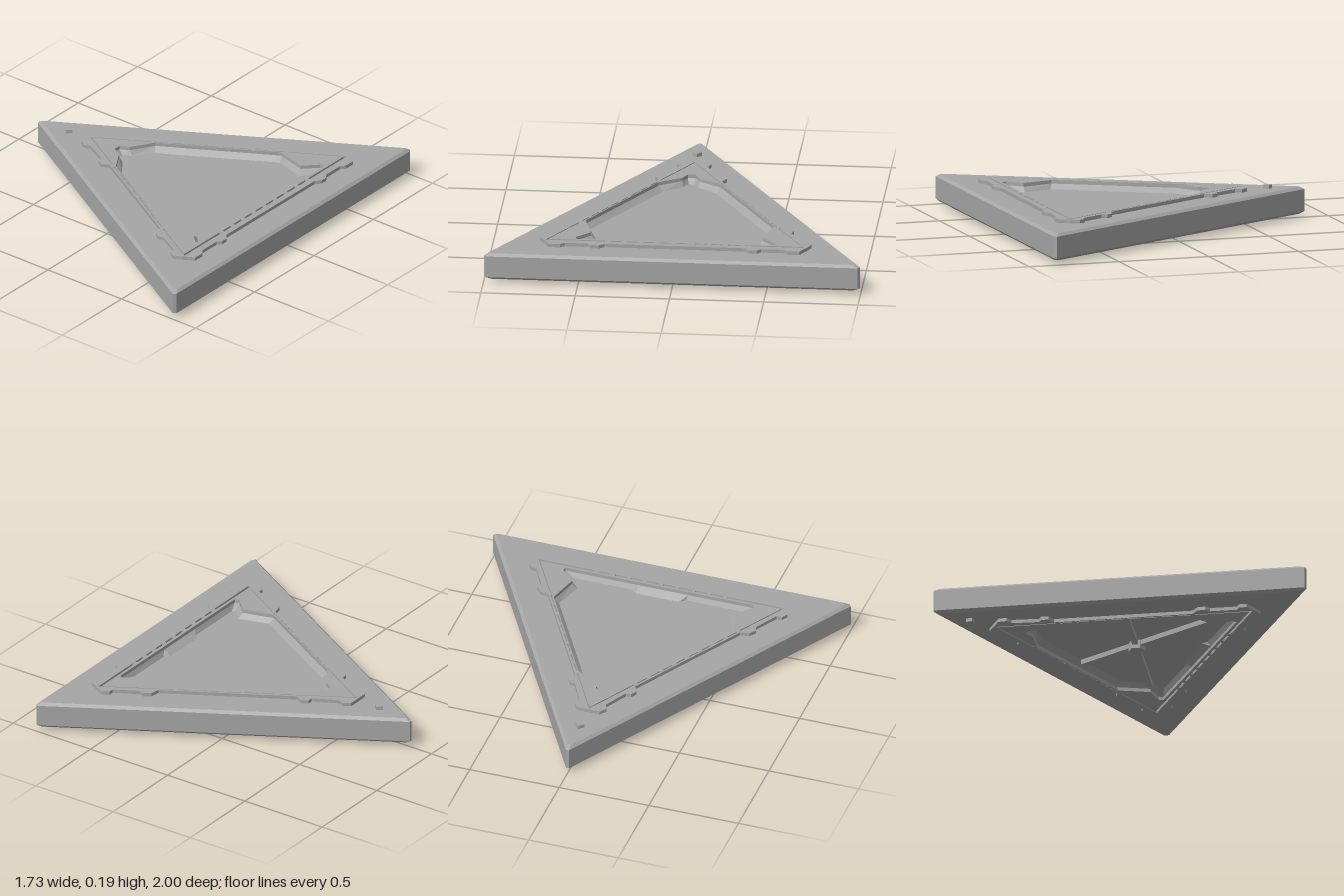
import * as THREE from 'three';

const CX = 0.283; // centroid of the triangle
const MID = 0.0935; // mid height of the slab

// Mirrors a half outline (z < 0) into a closed loop of [x, z]
const mirror = half => [...half, ...half.map(([x, z]) => [x, -z]).reverse()];

// Triangle pointing to -x, from the slanted side distance and the x of the straight side
function triangle(d, xr) {
  const z = (d + 0.5 * (xr - CX)) / 0.866;
  return [[CX - 2 * d, 0], [xr, -z], [xr, z]];
}

const scaleLoop = (loop, s) => loop.map(([x, z]) => [CX + (x - CX) * s, z * s]);

// Collects walls and flat caps into one geometry
class Surface {
  constructor() { this.p = []; }
  wall(a, ya, b, yb, inward = false) {
    const v = a.map(([x, z]) => new THREE.Vector2(x, z));
    const flip = (THREE.ShapeUtils.area(v) < 0) !== inward !== (yb < ya);
    for (let i = 0; i < a.length; i++) {
      const j = (i + 1) % a.length;
      const A = [a[i][0], ya, a[i][1]], B = [a[j][0], ya, a[j][1]];
      const C = [b[j][0], yb, b[j][1]], D = [b[i][0], yb, b[i][1]];
      const quad = flip ? [A, B, C, A, C, D] : [A, C, B, A, D, C];
      quad.forEach(q => this.p.push(...q));
    }
    return this;
  }
  cap(outer, y, up, holes = []) {
    const vec = l => l.map(([x, z]) => new THREE.Vector2(x, z));
    const all = [outer, ...holes].flat();
    for (const f of THREE.ShapeUtils.triangulateShape(vec(outer), holes.map(vec))) {
      const [a, b, c] = f.map(i => all[i]);
      const area = (b[0] - a[0]) * (c[1] - a[1]) - (b[1] - a[1]) * (c[0] - a[0]);
      const order = (area < 0) === up ? [a, b, c] : [a, c, b];
      order.forEach(([x, z]) => this.p.push(x, y, z));
    }
    return this;
  }
  geometry() {
    const g = new THREE.BufferGeometry();
    g.setAttribute('position', new THREE.Float32BufferAttribute(this.p, 3));
    g.computeVertexNormals();
    return g;
  }
}

// Slab outline, with clipped corners
const slabEdge = mirror([[-0.865, -0.008], [0.845, -0.998], [0.86, -0.985]]);
const slabFace = scaleLoop(slabEdge, 0.974);

// Rim and floor of the recess
const rim = mirror([
  [-0.335, -0.02], [-0.285, -0.045], [-0.21, -0.165], [0.375, -0.5], [0.545, -0.455],
  [0.62, -0.53], [0.645, -0.525], [0.645, -0.16], [0.645, -0.12],
]);
const floor = mirror([
  [-0.31, -0.015], [-0.265, -0.04], [-0.19, -0.14], [0.39, -0.475], [0.55, -0.425],
  [0.61, -0.485], [0.63, -0.475], [0.63, -0.15], [0.605, -0.12],
]);

// Notched outer edge of the raised trim
const trimEdge = mirror([
  [-0.525, -0.063], [-0.49, -0.09], [-0.455, -0.075], [-0.325, -0.142], [-0.325, -0.17],
  [-0.29, -0.19], [-0.25, -0.168], [0.39, -0.535], [0.4, -0.585], [0.435, -0.61],
  [0.465, -0.6], [0.59, -0.67], [0.59, -0.7], [0.625, -0.72], [0.67, -0.7],
  [0.69, -0.685], [0.73, -0.665], [0.73, -0.605], [0.71, -0.58], [0.71, -0.46],
  [0.73, -0.44], [0.73, -0.4], [0.705, -0.37],
]);
const grooveOuter = triangle(0.4, 0.672);
const grooveInner = triangle(0.394, 0.66);

export function createModel() {
  const model = new THREE.Group();
  const grey = new THREE.MeshStandardMaterial({ color: 0xa6a6a6, flatShading: true });
  grey.name = 'stoneGrey';

  const add = (name, geometry, x = 0, y = 0, z = 0, turn = 0) => {
    const mesh = new THREE.Mesh(geometry, grey);
    mesh.name = name;
    mesh.position.set(x, y, z);
    mesh.rotation.y = turn;
    model.add(mesh);
    return mesh;
  };

  // Bevelled slab side
  add('slabSide', new Surface().wall(slabEdge, 0.035, slabEdge, 0.152).geometry());

  for (const s of [1, -1]) {
    const side = s > 0 ? 'top' : 'bottom';
    const up = s > 0;
    const Y = h => MID + s * h;
    const face = Y(0.0725), raised = Y(0.0915), deep = Y(0.0465);

    // Slab face with its bevel and the sloped recess
    add(side + 'Face', new Surface()
      .wall(slabEdge, Y(0.0585), slabFace, face)
      .cap(slabFace, face, up, [rim]).geometry());
    add(side + 'Recess', new Surface()
      .wall(floor, deep, rim, face, true)
      .cap(floor, deep, up).geometry());

    // Raised notched trim and inner ring, with a narrow groove between
    for (const [name, outer, inner] of [['Trim', trimEdge, grooveOuter], ['InnerRing', grooveInner, rim]]) {
      add(side + name, new Surface()
        .wall(outer, face, outer, raised)
        .wall(inner, face, inner, raised, true)
        .cap(outer, raised, up, [inner]).geometry());
    }

    // Small pegs along the groove
    for (let k = 0; k < 3; k++) {
      const a = k * Math.PI * 2 / 3;
      const d = k === 0 ? 0.383 : 0.397;
      for (let i = -4; i <= 4; i++) {
        const t = i * 0.09;
        add(side + 'Peg', new THREE.BoxGeometry(0.012, 0.02, 0.025),
          CX + d * Math.cos(a) - t * Math.sin(a), Y(0.082),
          d * Math.sin(a) + t * Math.cos(a), -a);
      }
    }

    // Diamond marker by the tip
    add(side + 'Marker', new THREE.BoxGeometry(0.035, 0.02, 0.035), -0.66, Y(0.082), 0, Math.PI / 4);
  }

  // Crossed ribs and hub underneath
  for (const s of [1, -1]) {
    const a = s * Math.PI / 3;
    add('rib', new THREE.BoxGeometry(0.86, 0.03, 0.03),
      CX + 0.07 * Math.cos(a), 0.035, 0.07 * Math.sin(a), -a);
  }
  add('hub', new THREE.CylinderGeometry(0.045, 0.045, 0.05, 6), CX + 0.005, 0.025, 0);

  return model;
}
